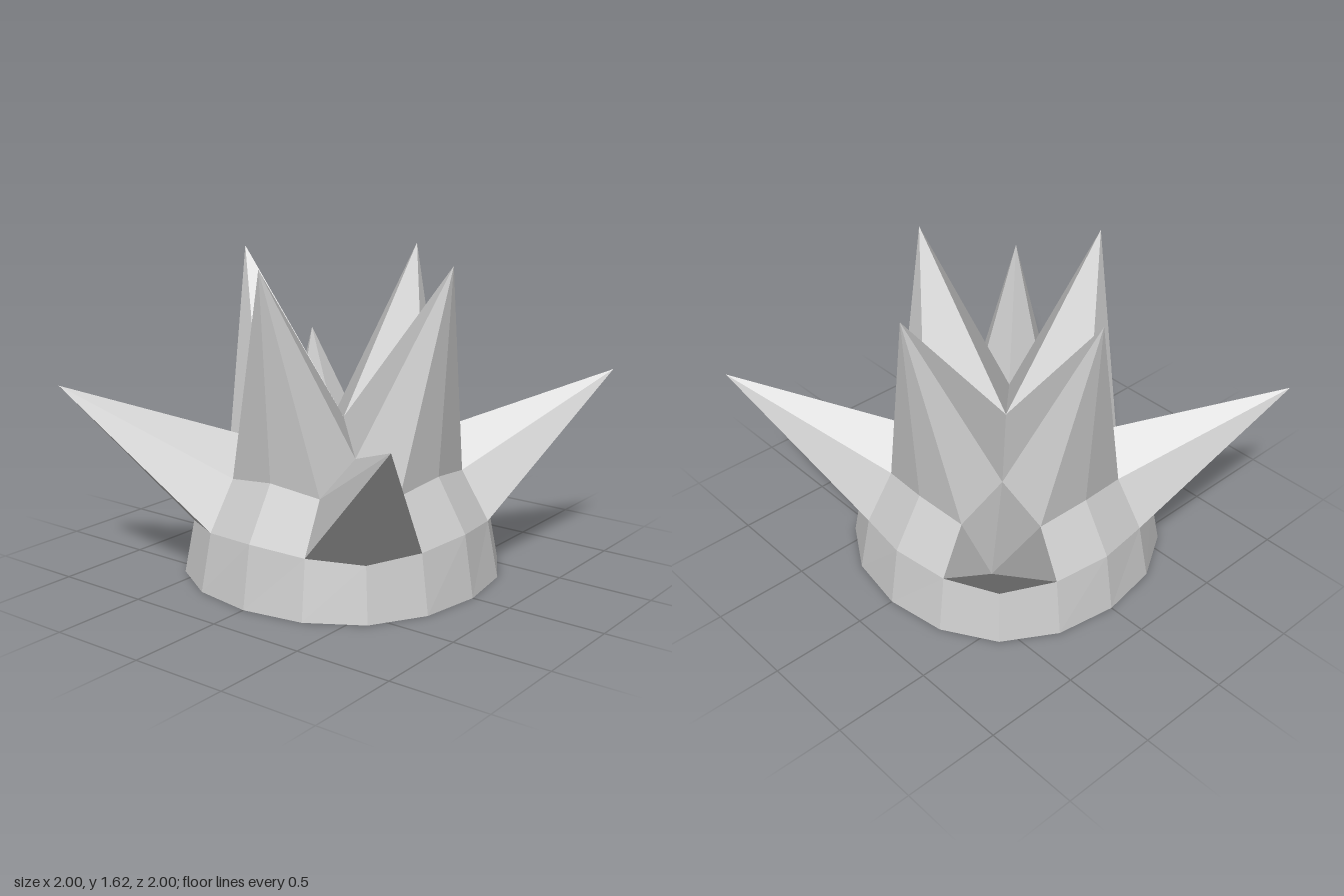
import * as THREE from 'three';

const material = new THREE.MeshStandardMaterial({ color: 0xcccccc, flatShading: true });

// Faceted mesh from a list of triangles, each made of three [x, y, z] corners
function facets(name, triangles) {
  const geometry = new THREE.BufferGeometry();
  geometry.setAttribute('position', new THREE.Float32BufferAttribute(triangles.flat(2), 3));
  geometry.computeVertexNormals();
  const mesh = new THREE.Mesh(geometry, material);
  mesh.name = name;
  return mesh;
}

// Triangles from a tip to a ring (counter-clockwise seen from outside)
const fan = (tip, ring) => ring.map((p, i) => [tip, p, ring[(i + 1) % ring.length]]);

// Triangles joining two rows that both run left to right
function strip(lower, upper) {
  const out = [];
  for (let i = 0; i < lower.length - 1; i++) {
    out.push([lower[i], lower[i + 1], upper[i + 1]], [lower[i], upper[i + 1], upper[i]]);
  }
  return out;
}

const mirror = ([x, y, z]) => [-x, y, z];
// Complete a row from its centre point and its right-hand points
const row = (centre, ...right) => [...right.map(mirror).reverse(), centre, ...right];

export function createModel() {
  const group = new THREE.Group();
  group.name = 'spikedDome';

  // Rows of the rounded-cube body on its front quarter
  const base = row([0, 0, 0.793], [0.318, 0, 0.742], [0.582, 0, 0.582]);
  const middle = row([0, 0.317, 0.742], [0.297, 0.297, 0.69], [0.545, 0.275, 0.545]);
  const shoulder = row([0, 0.582, 0.582], [0.273, 0.545, 0.545]);

  // Spike rings on the shared body corners
  const inner = [0.297, 0.69, 0.297];
  const uprightRing = [[0, 0.793, 0], mirror(inner), ...shoulder, inner];
  const cornerRing = [inner, shoulder[2], middle[3], middle[4], [0.69, 0.297, 0.297], [0.545, 0.545, 0.273]];

  for (let i = 0; i < 4; i++) {
    const quarter = new THREE.Group();
    quarter.name = 'quarter' + (i + 1);
    quarter.rotation.y = (i * Math.PI) / 2;
    quarter.add(
      facets('bodyWall', [...strip(base, middle), ...strip(middle.slice(1, 4), shoulder)]),
      facets('uprightSpike', fan([0, 1.618, 0.645], uprightRing)),
      facets('cornerSpike', fan([1, 1, 1], cornerRing)),
      // Flat underside, facing down
      facets('underside', base.slice(1).map((p, k) => [[0, 0, 0], p, base[k]]))
    );
    group.add(quarter);
  }
  return group;
}
